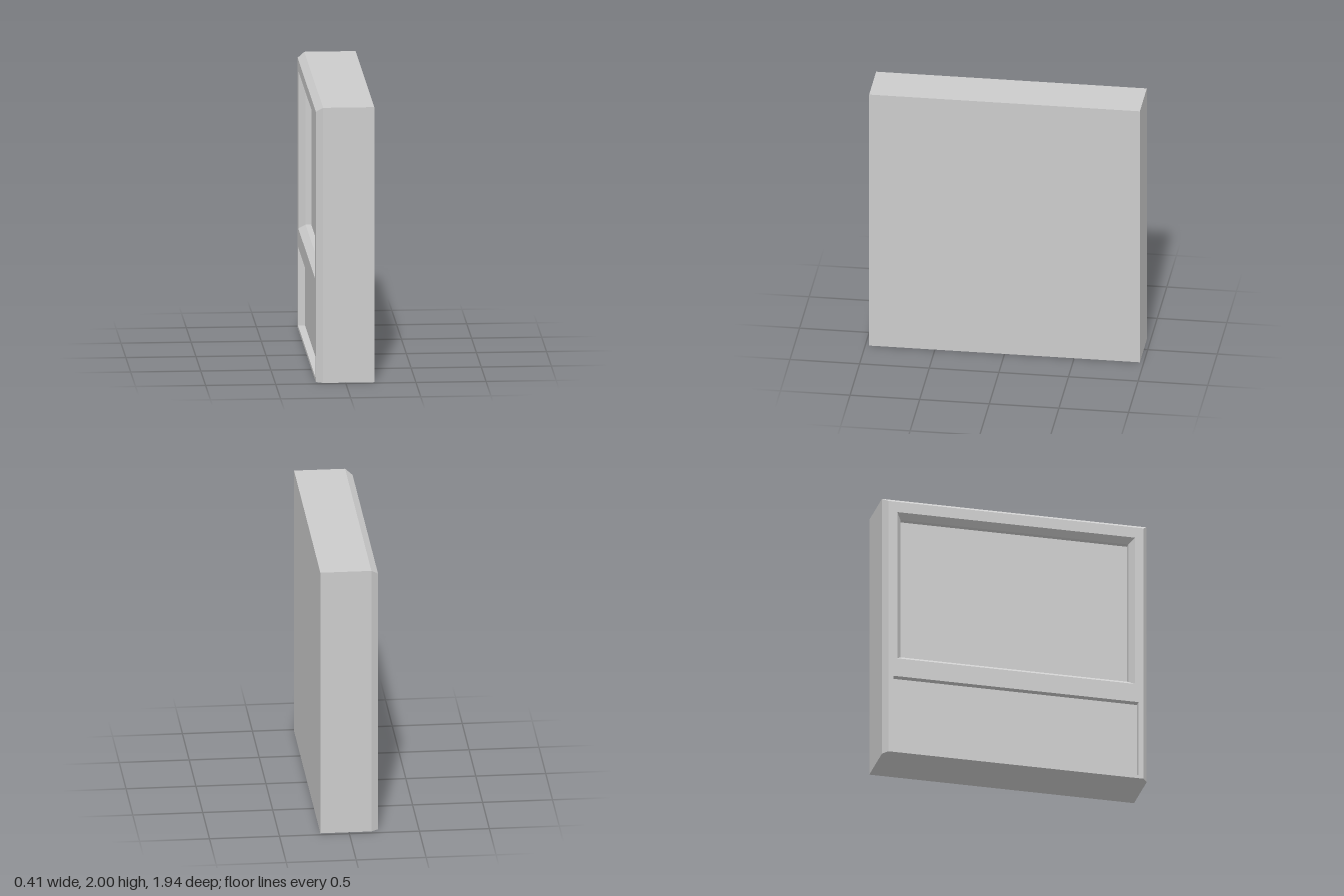
import * as THREE from 'three';

const material = new THREE.MeshStandardMaterial({ color: 0xcccccc, flatShading: true });

// Rectangle in the z-y plane at a given x, counter-clockwise seen from -x
const rect = (x, halfZ, y0, y1) => [
  [x, y0, -halfZ], [x, y0, halfZ], [x, y1, halfZ], [x, y1, -halfZ],
];

// Walls between successive rectangles, with optional flat ends
function loft(name, rings, { capStart = false, capEnd = false }) {
  const pos = [];
  const quad = (a, b, c, d) => pos.push(...a, ...b, ...c, ...a, ...c, ...d);
  for (let r = 0; r < rings.length - 1; r++) {
    const A = rings[r], B = rings[r + 1];
    for (let i = 0; i < 4; i++) {
      const j = (i + 1) % 4;
      quad(A[i], A[j], B[j], B[i]);
    }
  }
  if (capStart) quad(...[...rings[0]].reverse());
  if (capEnd) quad(...rings[rings.length - 1]);
  const geometry = new THREE.BufferGeometry();
  geometry.setAttribute('position', new THREE.Float32BufferAttribute(pos, 3));
  geometry.computeVertexNormals();
  const mesh = new THREE.Mesh(geometry, material);
  mesh.name = name;
  return mesh;
}

export function createModel() {
  const group = new THREE.Group();
  group.name = 'panelledCabinet';

  const faceX = -0.21;
  const bevelDepth = 0.05, bevel = 0.035;
  const upper = { halfZ: 0.872, y0: 0.737, y1: 1.885 };
  const lower = { halfZ: 0.9, y0: 0.025, y1: 0.597 };

  // Casing: flat at +x, bevelled on the top and side edges at -x
  group.add(loft('casing', [
    rect(0.205, 0.972, 0, 2),
    rect(faceX + bevelDepth, 0.972, 0, 2),
    rect(faceX, 0.972 - bevel, 0, 2 - bevel),
  ], { capStart: true }));

  // Face frame with two openings
  const toPoints = (halfZ, y0, y1) =>
    rect(0, halfZ, y0, y1).map(([, y, z]) => new THREE.Vector2(z, y));
  const face = new THREE.Shape(toPoints(0.972 - bevel, 0, 2 - bevel));
  for (const o of [upper, lower]) face.holes.push(new THREE.Path(toPoints(o.halfZ, o.y0, o.y1)));
  const frame = new THREE.Mesh(new THREE.ShapeGeometry(face).rotateY(-Math.PI / 2), material);
  frame.position.x = faceX;
  frame.name = 'faceFrame';
  group.add(frame);

  // Upper recess: bevelled rim, short straight wall, back panel
  const inner = [upper.halfZ - bevel, upper.y0 + bevel, upper.y1 - bevel];
  group.add(loft('upperRecess', [
    rect(faceX, upper.halfZ, upper.y0, upper.y1),
    rect(faceX + bevelDepth, ...inner),
    rect(faceX + 0.09, ...inner),
  ], { capEnd: true }));

  // Lower recess: straight wall and back panel
  group.add(loft('lowerRecess', [
    rect(faceX, lower.halfZ, lower.y0, lower.y1),
    rect(faceX + 0.05, lower.halfZ, lower.y0, lower.y1),
  ], { capEnd: true }));

  return group;
}
